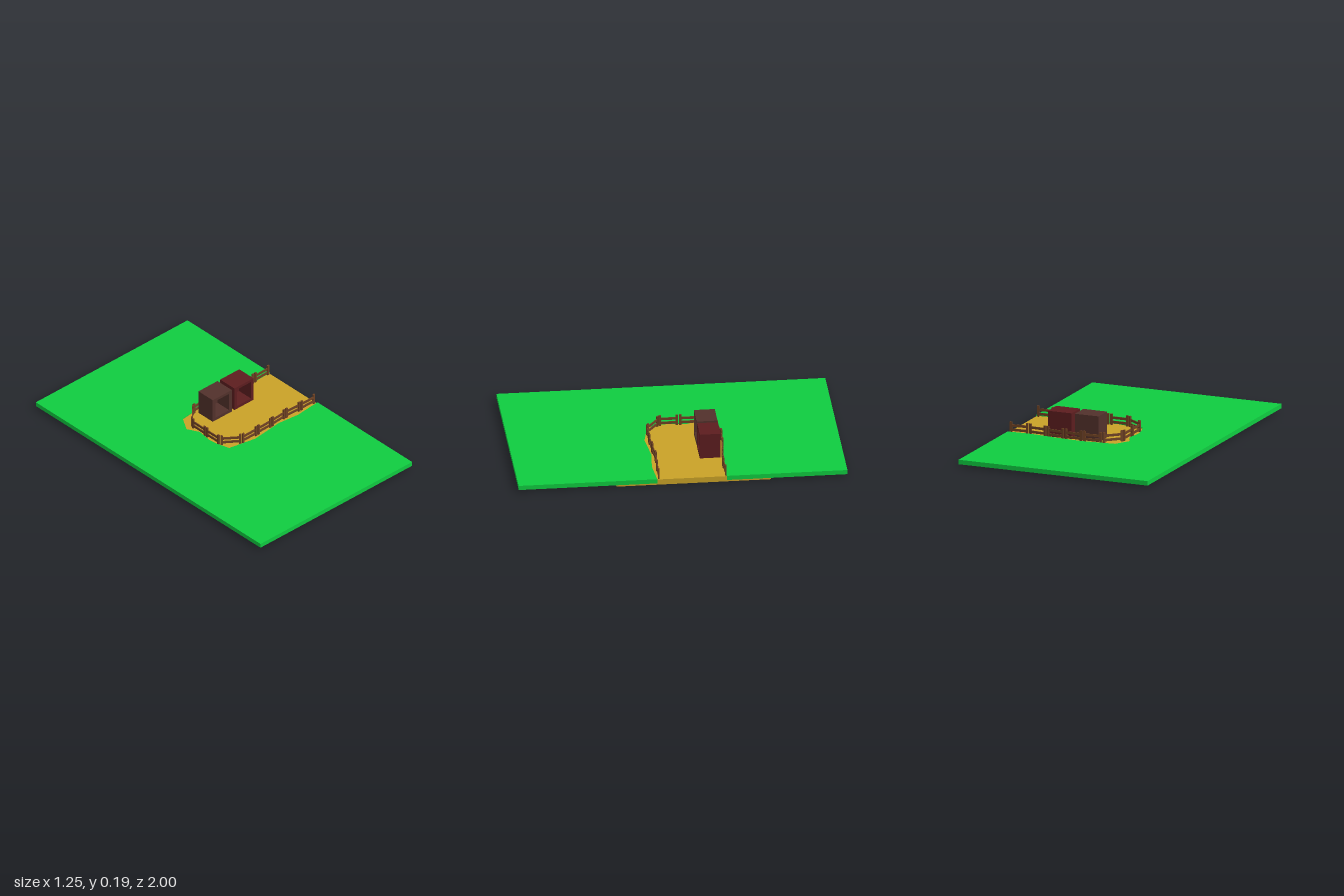
import * as THREE from 'three';

const mat = (color) => new THREE.MeshStandardMaterial({ color, flatShading: true });
const GRASS = mat(0x0fcc40), SAND = mat(0xc9a227), WOOD = mat(0x6f4223);
const BROWN = mat(0x52312b), RED = mat(0x5c1d1f);
const SAND_TOP = 0.035;

// Box given by its lower and upper corners
function block(name, material, [x0, y0, z0], [x1, y1, z1]) {
  const mesh = new THREE.Mesh(new THREE.BoxGeometry(x1 - x0, y1 - y0, z1 - z0), material);
  mesh.position.set((x0 + x1) / 2, (y0 + y1) / 2, (z0 + z1) / 2);
  mesh.name = name;
  return mesh;
}

// Grass slab with an irregular bay cut in from its +x edge
function grass() {
  const outline = [
    [0.623, -0.267], [0.48, -0.261], [0.27, -0.284], [0.12, -0.294], [-0.09, -0.272],
    [-0.147, -0.177], [-0.108, -0.1], [-0.122, 0], [-0.115, 0.06], [-0.09, 0.142],
    [0.09, 0.178], [0.3, 0.156], [0.45, 0.172], [0.623, 0.157],
    [0.623, 1], [-0.627, 1], [-0.627, -1], [0.623, -1],
  ];
  const shape = new THREE.Shape(outline.map(([x, z]) => new THREE.Vector2(x, z)));
  const geo = new THREE.ExtrudeGeometry(shape, { depth: 0.028, bevelEnabled: false });
  geo.rotateX(Math.PI / 2);
  geo.translate(0, 0.04, 0);
  const mesh = new THREE.Mesh(geo, GRASS);
  mesh.name = 'grass';
  return mesh;
}

// Shelter hollowed out from the front
function shelter(name, x, material) {
  const w = 0.157, h = 0.161, d = 0.127, t = 0.021;
  const rect = (path, hw, y0, y1) =>
    path.moveTo(-hw, y0).lineTo(hw, y0).lineTo(hw, y1).lineTo(-hw, y1).closePath();
  const shape = rect(new THREE.Shape(), w / 2, 0, h);
  shape.holes.push(rect(new THREE.Path(), w / 2 - t, t, h - t * 0.85));
  const group = new THREE.Group();
  group.name = name;
  const walls = new THREE.Mesh(
    new THREE.ExtrudeGeometry(shape, { depth: d - t, bevelEnabled: false }), material);
  walls.name = 'walls';
  walls.position.z = t;
  group.add(walls, block('backWall', material, [-w / 2, 0, 0], [w / 2, h, t]));
  group.position.set(x, SAND_TOP - 0.001, -0.257);
  return group;
}

// One fence panel: a post at each end and two rails
function fencePanel([x0, z0], [x1, z1]) {
  const group = new THREE.Group();
  group.name = 'fencePanel';
  const half = Math.hypot(x1 - x0, z1 - z0) / 2;
  for (const s of [-1, 1]) {
    const px = s * (half - 0.007);
    group.add(block('post', WOOD, [px - 0.007, 0, -0.005], [px + 0.007, 0.069, 0.005]));
  }
  for (const y of [0.011, 0.038]) {
    group.add(block('rail', WOOD, [-half + 0.003, y, -0.003], [half - 0.003, y + 0.015, 0.003]));
  }
  group.position.set((x0 + x1) / 2, SAND_TOP - 0.001, (z0 + z1) / 2);
  group.rotation.y = -Math.atan2(z1 - z0, x1 - x0);
  return group;
}

export function createModel() {
  const model = new THREE.Group();
  model.name = 'paddock';
  model.add(grass());
  model.add(block('sand', SAND, [-0.225, 0, -0.535], [0.617, SAND_TOP, 0.405]));
  model.add(shelter('brownShelter', 0.104, BROWN), shelter('redShelter', 0.283, RED));

  // Fence path from the back of the open side round to the front
  const path = [
    [0.614, -0.262], [0.487, -0.258], [0.365, -0.268], [0.242, -0.281], [0.117, -0.288],
    [-0.006, -0.272], [-0.104, -0.175], [-0.105, -0.05], [-0.105, 0.073], [0.005, 0.153],
    [0.132, 0.152], [0.252, 0.148], [0.374, 0.139], [0.494, 0.145], [0.614, 0.146],
  ].map(([x, z]) => new THREE.Vector2(x, z));
  for (let i = 0; i < path.length - 1; i++) {
    const a = path[i].clone().lerp(path[i + 1], 0.03);
    const b = path[i].clone().lerp(path[i + 1], 0.97);
    model.add(fencePanel(a.toArray(), b.toArray()));
  }
  return model;
}
